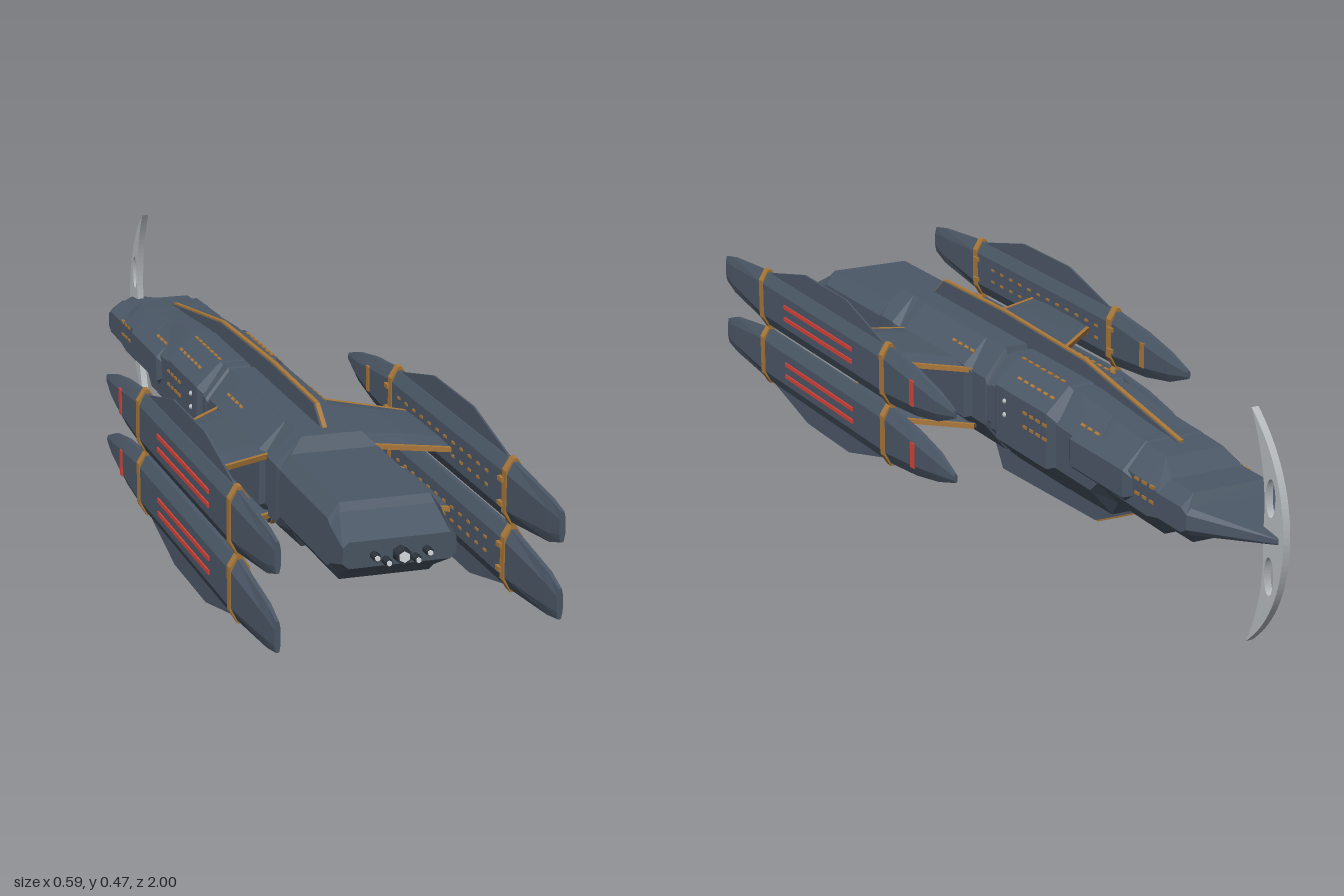
import * as THREE from 'three';

const mat = (name, color, side = THREE.FrontSide) => {
  const m = new THREE.MeshStandardMaterial({ color, side });
  m.name = name;
  return m;
};
const MID = 0.224; // height of the mirror plane between upper and lower parts

export function createModel() {
  const root = new THREE.Group();
  root.name = 'spaceship';
  const slate = mat('slate hull', 0x4c5867);
  const gold = mat('bronze trim', 0xa9783a);
  const red = mat('red vents', 0xd8443a);
  const silver = mat('silver blade', 0xb9bdc1, THREE.DoubleSide);
  const dark = mat('dark metal', 0x2f363f);
  const glow = mat('pale exhaust', 0xe6eaec);

  const add = (name, geo, material, parent = root) => {
    const m = new THREE.Mesh(geo, material);
    m.name = name;
    parent.add(m);
    return m;
  };

  // Flat-shaded skin over rings of points with capped ends, always facing outward
  const skin = (rings) => {
    const tris = [], n = rings[0].length, last = rings.length - 1;
    for (let r = 0; r < last; r++) for (let i = 0; i < n; i++) {
      const j = (i + 1) % n, a = rings[r], b = rings[r + 1];
      tris.push([a[i], a[j], b[j]], [a[i], b[j], b[i]]);
    }
    for (let i = 1; i < n - 1; i++) {
      tris.push([rings[0][0], rings[0][i + 1], rings[0][i]]);
      tris.push([rings[last][0], rings[last][i], rings[last][i + 1]]);
    }
    const c = new THREE.Vector3();
    const volume = tris.reduce((s, t) => s + t[0].dot(c.crossVectors(t[1], t[2])), 0);
    const pos = [];
    for (const t of tris) for (const p of volume < 0 ? [t[0], t[2], t[1]] : t) pos.push(p.x, p.y, p.z);
    const g = new THREE.BufferGeometry();
    g.setAttribute('position', new THREE.Float32BufferAttribute(pos, 3));
    g.computeVertexNormals();
    return g;
  };

  // Octagonal ring: half width, top, bottom, half width of the flat, corner height
  const octagon = (z, hw, top, bot, cx, dy, x0 = 0) => [
    [cx, top], [hw, top - dy], [hw, bot + dy], [cx, bot],
    [-cx, bot], [-hw, bot + dy], [-hw, top - dy], [-cx, top],
  ].map(([x, y]) => new THREE.Vector3(x0 + x, y, z));

  const box = (name, w, h, d, x, y, z, material, parent = root) => {
    const m = add(name, new THREE.BoxGeometry(w, h, d), material, parent);
    m.position.set(x, y, z);
    return m;
  };

  // Bar running from a to b
  const bar = (name, a, b, w, h, material, parent = root) => {
    const m = add(name, new THREE.BoxGeometry(w, h, a.distanceTo(b)), material, parent);
    m.position.copy(a).add(b).multiplyScalar(0.5);
    m.lookAt(b);
    return m;
  };

  // Upright plate from a side outline in (z, y)
  const plate = (shape, thick) => {
    const g = new THREE.ExtrudeGeometry(shape, { depth: thick, bevelEnabled: false, curveSegments: 20 });
    g.translate(0, 0, -thick / 2);
    return g.rotateY(-Math.PI / 2);
  };
  const outline = (pts) => new THREE.Shape(pts.map(([z, y]) => new THREE.Vector2(z, y)));

  // Main hull, stepped from the engine block back to the pointed tail
  add('hull', skin([
    [0.885, 0.112, 0.27, 0.218, 0.1, 0.01],
    [0.815, 0.113, 0.305, 0.182, 0.095, 0.025],
    [0.8, 0.113, 0.32, 0.167, 0.09, 0.03],
    [0.51, 0.113, 0.322, 0.165, 0.09, 0.03],
    [0.49, 0.115, 0.35, 0.122, 0.062, 0.054],
    [0.44, 0.115, 0.35, 0.122, 0.062, 0.054],
    [0.42, 0.107, 0.35, 0.122, 0.058, 0.062],
    [0.005, 0.107, 0.35, 0.122, 0.058, 0.062],
    [0, 0.105, 0.335, 0.137, 0.056, 0.06],
    [-0.015, 0.105, 0.335, 0.137, 0.056, 0.06],
    [-0.02, 0.107, 0.346, 0.122, 0.056, 0.064],
    [-0.32, 0.107, 0.344, 0.122, 0.056, 0.064],
    [-0.45, 0.107, 0.333, 0.125, 0.056, 0.06],
    [-0.48, 0.107, 0.33, 0.16, 0.06, 0.05],
    [-0.67, 0.107, 0.318, 0.16, 0.065, 0.045],
    [-0.715, 0.108, 0.29, 0.19, 0.08, 0.025],
    [-0.8, 0.108, 0.29, 0.19, 0.08, 0.025],
    [-0.82, 0.108, 0.268, 0.214, 0.098, 0.012],
    [-0.99, 0.004, 0.246, 0.234, 0.003, 0.003],
  ].map((s) => octagon(...s))), slate);

  // Raised armour collars wrapped round the hull corners
  for (const [z0, z1, top, bot] of [[0.4, 0.06, 0.347, 0.125], [-0.04, -0.31, 0.347, 0.125], [-0.36, -0.62, 0.325, 0.165]]) {
    add('armourCollar', skin([
      octagon(z0, 0.106, top - 0.012, bot + 0.012, 0.055, 0.05),
      octagon(z0 - 0.02, 0.115, top, bot, 0.062, 0.052),
      octagon(z1 + 0.03, 0.115, top, bot, 0.062, 0.052),
      octagon(z1, 0.106, top - 0.014, bot + 0.014, 0.055, 0.05),
    ]), slate);
  }

  // Engine nozzles
  for (const [x, y, r] of [[0, 0.24, 0.016], [0.052, 0.242, 0.008], [-0.052, 0.242, 0.008], [0.029, 0.23, 0.008], [-0.029, 0.23, 0.008]]) {
    const n = add('nozzle', new THREE.CylinderGeometry(r, r, 0.04, 6).rotateX(Math.PI / 2), dark);
    n.position.set(x, y, 0.885 + r * 0.3);
    const e = add('exhaust', new THREE.CylinderGeometry(r * 0.68, r * 0.68, 0.004, 6).rotateX(Math.PI / 2), glow);
    e.position.set(x, y, 0.906 + r * 0.3);
  }

  // Dorsal and ventral fins with bronze edges
  const fin = (name, pts, thick) => {
    add(name, plate(outline(pts), thick), slate);
    for (let i = 0; i < pts.length - 2; i++) {
      const [a, b] = [pts[i], pts[i + 1]].map(([z, y]) => new THREE.Vector3(0, y, z));
      bar(name + 'Edge', a, b, 0.009, 0.007, gold);
    }
  };
  fin('dorsalFin', [[0.47, 0.33], [0.4, 0.385], [0.12, 0.39], [-0.24, 0.38], [-0.62, 0.322], [-0.5, 0.3], [0.4, 0.3]], 0.015);
  fin('ventralFin', [[0.16, 0.11], [0.11, 0.037], [-0.3, 0.054], [-0.47, 0.128], [-0.46, 0.18], [0.1, 0.18]], 0.02);

  // Crescent tail blade with two oval openings
  const crescent = new THREE.Shape();
  crescent.moveTo(-0.88, 0.472);
  crescent.quadraticCurveTo(-0.998, 0.38, -1, 0.238);
  crescent.quadraticCurveTo(-0.998, 0.095, -0.88, 0.003);
  crescent.quadraticCurveTo(-0.945, 0.12, -0.93, 0.238);
  crescent.quadraticCurveTo(-0.945, 0.36, -0.88, 0.472);
  for (const y of [0.315, 0.16]) {
    const hole = new THREE.Path();
    hole.absellipse(-0.953, y, 0.016, 0.038, 0, Math.PI * 2, true);
    crescent.holes.push(hole);
  }
  add('tailBlade', plate(crescent, 0.015), silver);

  // Dotted window rows on the hull
  const windows = (x, y, z0, z1, tilt) => {
    for (let z = z0; z > z1; z -= 0.028) {
      const w = box('window', 0.005, 0.006, 0.016, x, y, z, gold);
      w.rotation.z = tilt;
    }
  };

  for (const sx of [1, -1]) {
    for (const y of [0.27, 0.24]) {
      windows(sx * 0.115, y, -0.19, -0.28, 0);
      windows(sx * 0.107, y, -0.635, -0.7, 0);
      const port = add('sensor', new THREE.SphereGeometry(0.006, 8, 6), silver);
      port.position.set(sx * 0.115, y, -0.1);
    }
    windows(sx * 0.089, 0.32, -0.12, -0.27, sx * Math.PI / 4);
    windows(sx * 0.089, 0.3, -0.39, -0.46, sx * Math.PI / 4);
    windows(sx * 0.058, 0.347, -0.08, -0.27, Math.PI / 2);
    windows(sx * 0.089, 0.321, 0.18, 0.08, sx * Math.PI / 4);

    for (const sy of [1, -1]) {
      const side = new THREE.Group();
      side.name = (sy > 0 ? 'upper' : 'lower') + (sx > 0 ? 'Left' : 'Right') + 'Engine';
      root.add(side);
      const Y = (v) => MID + sy * v;
      const X = 0.275 * sx;
      const ring = (z, hw, t, b, cx, dy) => octagon(z, hw, Math.max(Y(t), Y(b)), Math.min(Y(t), Y(b)), cx, dy, X);

      // Nacelle body
      add('nacelle', skin([
        ring(1, 0.006, 0.106, 0.046, 0.003, 0.015),
        ring(0.95, 0.01, 0.115, 0.03, 0.004, 0.02),
        ring(0.76, 0.0175, 0.13, 0.006, 0.005, 0.025),
        ring(0.1, 0.0175, 0.128, 0.006, 0.005, 0.025),
        ring(-0.02, 0.0165, 0.116, 0.016, 0.005, 0.024),
        ring(-0.12, 0.012, 0.098, 0.034, 0.004, 0.018),
        ring(-0.19, 0.004, 0.078, 0.06, 0.002, 0.005),
      ]), slate, side);

      // Bronze bands with clamps on the inner face
      for (const z of [0.76, 0.12]) {
        add('band', skin([
          ring(z + 0.01, 0.0195, 0.136, -0.001, 0.004, 0.025),
          ring(z - 0.01, 0.0195, 0.136, -0.001, 0.004, 0.025),
        ]), gold, side);
        for (const v of [0.091, 0.042]) box('clamp', 0.008, 0.009, 0.02, sx * 0.254, Y(v), z - 0.01, gold, side);
      }

      // Thin outer fin
      const finPts = [[0.75, 0.12], [0.73, 0.133], [0.55, 0.174], [0.33, 0.174], [0.15, 0.13], [0.15, 0.12]];
      const nf = add('nacelleFin', plate(outline(finPts.map(([z, v]) => [z, Y(v)])), 0.004), slate, side);
      nf.position.x = X;

      // Red vents on the outer face, window rows on the inner face
      for (const v of [0.082, 0.054]) {
        box('vent', 0.006, 0.009, 0.36, sx * 0.2925, Y(v), 0.45, red, side);
        for (let i = 0; i < 12; i++) box('innerLight', 0.004, 0.005, 0.014, sx * 0.257, Y(v), 0.67 - i * 0.045, gold, side);
      }
      box('marker', 0.006, 0.055, 0.016, sx * 0.291, Y(0.068), -0.022, red, side);
      box('innerMarker', 0.005, 0.055, 0.016, sx * 0.259, Y(0.068), -0.022, gold, side);

      // Swept wing, thick in the middle, with bronze edges
      const wy = Y(0.063);
      const section = (x, a, b, t) => [
        [a, 0.004], [a - 0.06, t], [b + 0.06, t], [b, 0.004],
        [b, -0.004], [b + 0.06, -t], [a - 0.06, -t], [a, -0.004],
      ].map(([z, y]) => new THREE.Vector3(sx * x, wy + y, z));
      add('wing', skin([
        section(0.095, 0.4, 0.07, 0.01), section(0.19, 0.442, 0.154, 0.0125), section(0.262, 0.474, 0.217, 0.007),
      ]), slate, side);
      for (const [z0, z1] of [[0.4, 0.474], [0.07, 0.217]]) {
        bar('wingEdge', new THREE.Vector3(sx * 0.1, wy, z0), new THREE.Vector3(sx * 0.26, wy, z1), 0.009, 0.01, gold, side);
      }
    }
  }
  return root;
}
